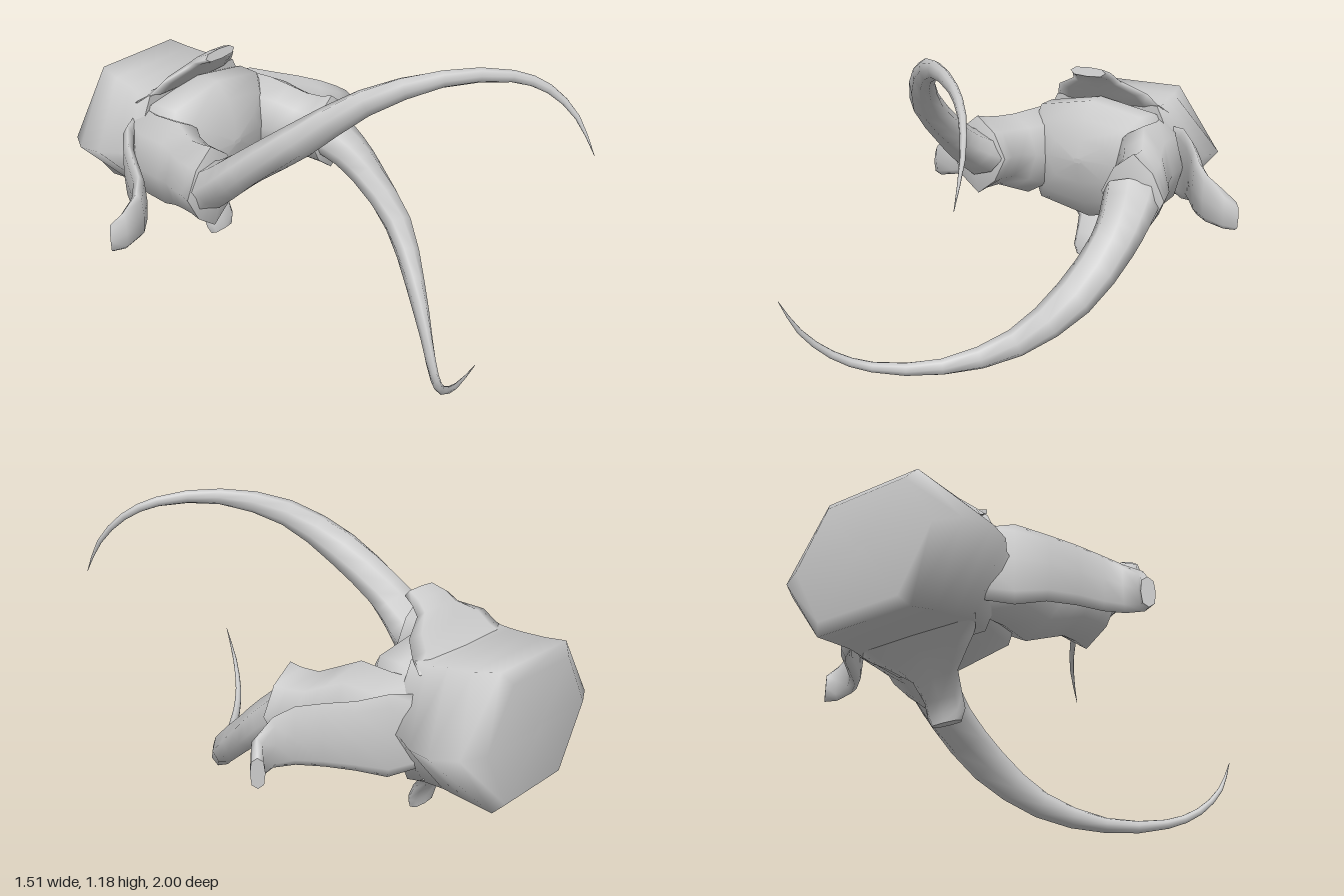
import * as THREE from 'three';

const V = (x, y, z) => new THREE.Vector3(x, y, z);
const MID_Y = 0.59; // height of the axis the two horns twist around
const material = new THREE.MeshStandardMaterial({ color: 0xcccccc });

// Skin a list of rings into a closed solid: smooth sides, crisp end caps.
// tip pushes the last cap's centre forward along z.
function loft(name, rings, tip = 0) {
  const n = rings[0].length, points = rings.flat(), index = [];
  for (let i = 0; i < rings.length - 1; i++) {
    for (let j = 0; j < n; j++) {
      const a = i * n + j, b = i * n + (j + 1) % n;
      index.push(a, b, a + n, b, b + n, a + n);
    }
  }
  [rings[0], rings[rings.length - 1]].forEach((ring, end) => {
    const start = points.length;
    const centre = ring.reduce((s, p) => s.add(p), V(0, 0, 0)).divideScalar(n);
    centre.z += end * tip;
    points.push(...ring, centre);
    for (let j = 0; j < n; j++) {
      const a = start + j, b = start + (j + 1) % n;
      if (end) index.push(a, b, start + n);
      else index.push(b, a, start + n);
    }
  });
  // Turn the faces outward if the enclosed volume comes out negative
  let volume = 0;
  for (let i = 0; i < index.length; i += 3) {
    const [a, b, c] = [points[index[i]], points[index[i + 1]], points[index[i + 2]]];
    volume += a.dot(b.clone().cross(c));
  }
  if (volume < 0) index.reverse();
  const geometry = new THREE.BufferGeometry().setFromPoints(points);
  geometry.setIndex(index);
  geometry.computeVertexNormals();
  const mesh = new THREE.Mesh(geometry, material);
  mesh.name = name;
  return mesh;
}

// Eight-cornered elliptical ring: "wide" along a, "thin" along b.
// diagonal below 1 pulls the corners in towards a diamond.
function ellipse(centre, a, b, wide, thin, diagonal = 1) {
  return Array.from({ length: 8 }, (_, j) => {
    const t = (j / 8) * Math.PI * 2, k = j % 2 ? diagonal : 1;
    return centre.clone().addScaledVector(a, Math.cos(t) * wide * k).addScaledVector(b, Math.sin(t) * thin * k);
  });
}

// Six-cornered drum section with flat top and bottom
const hexagon = ([z, w, flat, top, bottom, sideZ = z]) => [
  V(flat, top, z), V(w, 0.6, sideZ), V(flat, bottom, z), V(-flat, bottom, z), V(-w, 0.6, sideZ), V(-flat, top, z),
];

// Eight-cornered head section with a ridge above and below
function octagon([z, w, top, bottom]) {
  const s = w * 0.75, high = 0.6 + (top - 0.6) * 0.82, low = 0.6 + (bottom - 0.6) * 0.82;
  return [V(0, top, z), V(s, high, z), V(w, 0.6, z), V(s, low, z),
    V(0, bottom, z), V(-s, low, z), V(-w, 0.6, z), V(-s, high, z)];
}

// Curved thin flap: stations of [centre, half width], width along a fixed axis
function flap(name, stations, axis, thickness) {
  const rings = stations.map(([p, half], i) => {
    const prev = stations[Math.max(i - 1, 0)][0];
    const next = stations[Math.min(i + 1, stations.length - 1)][0];
    const normal = next.clone().sub(prev).cross(axis).normalize();
    return [[-1, 0], [-0.75, 0.8], [0, 1], [0.75, 0.8], [1, 0], [0.75, -0.8], [0, -1], [-0.75, -0.8]]
      .map(([u, v]) => p.clone().addScaledVector(axis, u * half).addScaledVector(normal, v * thickness));
  });
  return loft(name, rings);
}

// Socket and horn of the model's left side, measured from the twist axis
function createHornSide() {
  const side = new THREE.Group();

  // [x, y, z, half width, half height, diagonal]
  const socket = [
    [0.24, 0, -0.7, 0.1, 0.17, 1], [0.285, 0, -0.58, 0.125, 0.185, 1], [0.285, 0, -0.45, 0.14, 0.19, 1],
    [0.32, -0.01, -0.38, 0.122, 0.17, 0.97], [0.352, -0.025, -0.31, 0.127, 0.155, 0.94],
    [0.365, -0.03, -0.24, 0.135, 0.16, 0.9], [0.375, -0.03, -0.19, 0.14, 0.172, 0.87],
  ].map(([x, y, z, w, h, d]) => ellipse(V(x, y, z), V(1, 0, 0), V(0, 1, 0), w, h, d));
  side.add(loft('hornSocket', socket, 0.05));

  // [x, y, z, radius]: sweeps down, across underneath and up to the tip
  const path = [
    [0.37, -0.025, -0.21, 0.125], [0.39, -0.1, -0.1, 0.105], [0.39, -0.18, 0, 0.092], [0.34, -0.335, 0.2, 0.08],
    [0.2, -0.485, 0.385, 0.055], [0, -0.558, 0.575, 0.033], [-0.2, -0.545, 0.74, 0.022],
    [-0.305, -0.485, 0.835, 0.017], [-0.37, -0.375, 0.925, 0.011], [-0.39, -0.235, 1, 0.001],
  ];
  const curve = new THREE.CatmullRomCurve3(path.map(([x, y, z]) => V(x, y, z)));
  const steps = 2 * (path.length - 1);
  const rings = [];
  for (let i = 0; i <= steps; i++) {
    const t = i / steps, k = Math.min(Math.floor(i / 2), path.length - 2), f = i / 2 - k;
    const radius = THREE.MathUtils.lerp(path[k][3], path[k + 1][3], f);
    const p = curve.getPoint(t), tangent = curve.getTangent(t);
    const out = V(p.x, p.y, 0);
    out.addScaledVector(tangent, -out.dot(tangent)).normalize();
    const across = tangent.clone().cross(out);
    rings.push(ellipse(p, out, across, radius, radius * 0.74));
  }
  side.add(loft('horn', rings));
  side.position.y = MID_Y;
  return side;
}

export function createModel() {
  const model = new THREE.Group();
  model.name = 'hornedMask';

  // Rear drum: [z, half width, half width of flats, top, bottom, z of side corners]
  model.add(loft('rearDrum', [
    [-1, 0.02, 0.01, 0.61, 0.59], [-1, 0.3, 0.17, 0.81, 0.37], [-0.967, 0.39, 0.2, 0.853, 0.337, -0.955],
    [-0.87, 0.445, 0.22, 0.835, 0.36], [-0.78, 0.43, 0.23, 0.828, 0.375],
    [-0.71, 0.385, 0.25, 0.82, 0.385], [-0.64, 0.36, 0.25, 0.825, 0.37],
  ].map(hexagon)));

  // Domed head block between the sockets: [z, half width, top, bottom]
  model.add(loft('head', [
    [-0.68, 0.33, 0.81, 0.39], [-0.6, 0.34, 0.847, 0.335], [-0.5, 0.33, 0.845, 0.325],
    [-0.445, 0.27, 0.775, 0.4], [-0.41, 0.16, 0.69, 0.5], [-0.396, 0.02, 0.61, 0.59],
  ].map(octagon)));

  // Upper crest flap
  model.add(flap('upperFlap', [
    [V(0, 0.79, -0.7), 0.28], [V(0, 0.83, -0.645), 0.25], [V(0, 0.88, -0.605), 0.22],
    [V(0, 0.925, -0.56), 0.12], [V(0, 0.955, -0.525), 0.105], [V(0, 0.975, -0.475), 0.085],
  ], V(1, 0, 0), 0.02));

  // Lower chin flap
  model.add(flap('lowerFlap', [
    [V(0, 0.4, -0.72), 0.27], [V(0, 0.365, -0.67), 0.23], [V(0, 0.335, -0.635), 0.175],
    [V(0, 0.285, -0.59), 0.1], [V(0, 0.22, -0.54), 0.083], [V(0, 0.17, -0.52), 0.083], [V(0, 0.132, -0.515), 0.065],
  ], V(1, 0, 0), 0.022));

  // Ear flaps: [x, z, low y, high y]
  const ear = [
    [0.28, -0.71, 0.45, 0.73], [0.375, -0.65, 0.43, 0.74], [0.45, -0.57, 0.455, 0.715], [0.51, -0.48, 0.462, 0.7],
    [0.565, -0.395, 0.46, 0.68], [0.625, -0.348, 0.455, 0.645], [0.7, -0.348, 0.44, 0.595], [0.735, -0.385, 0.43, 0.545],
  ];
  for (const s of [1, -1]) {
    const stations = ear.map(([x, z, low, high]) => [V(s * x, (low + high) / 2, z), (high - low) / 2]);
    model.add(flap(s > 0 ? 'leftEarFlap' : 'rightEarFlap', stations, V(0, 1, 0), 0.026));
  }

  // The right horn is the left one turned half a turn about the long axis
  const left = createHornSide();
  left.name = 'leftHornSide';
  const right = createHornSide();
  right.name = 'rightHornSide';
  right.rotation.z = Math.PI;
  model.add(left, right);

  return model;
}
